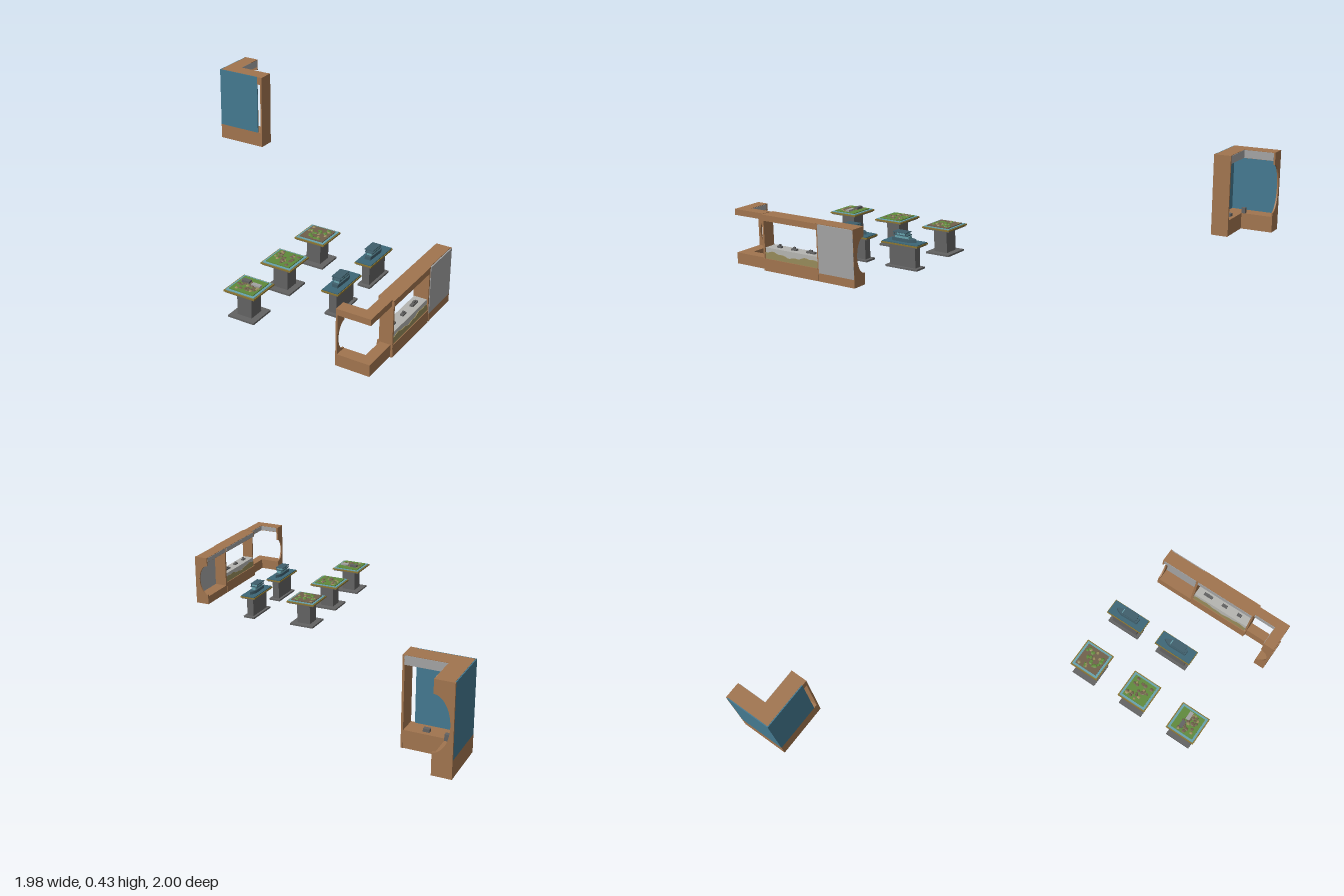
import * as THREE from 'three';

const mat = (color) => new THREE.MeshStandardMaterial({ color, side: THREE.DoubleSide });
const M = {
  wood: mat(0xa0744e), blue: mat(0x43788f), grey: mat(0xa2a2a2), dark: mat(0x626262),
  gold: mat(0x8a7430), sea: mat(0x3c6676), teal: mat(0x67a2ac), green: mat(0x5f8a3a),
  earth: mat(0x70604a), olive: mat(0x968a5a), pale: mat(0xb4b4b0), ship: mat(0x3f5f6c),
};

// Box given by its two corners
function box(parent, name, m, [x0, y0, z0], [x1, y1, z1]) {
  const mesh = new THREE.Mesh(new THREE.BoxGeometry(x1 - x0, y1 - y0, z1 - z0), m);
  mesh.position.set((x0 + x1) / 2, (y0 + y1) / 2, (z0 + z1) / 2);
  mesh.name = name;
  parent.add(mesh);
  return mesh;
}

function group(parent, name) {
  const g = new THREE.Group();
  g.name = name;
  parent.add(g);
  return g;
}

// Thin end plate in the xy plane; its open edge (x = 0) has a round bite
function bittenPlate(parent, name, w, y0, y1, cy, r, depth) {
  const s = new THREE.Shape();
  s.moveTo(0, y0);
  s.lineTo(w, y0);
  s.lineTo(w, y1);
  s.lineTo(0, y1);
  s.lineTo(0, cy + r);
  s.absellipse(0, cy, depth, r, Math.PI / 2, -Math.PI / 2, true);
  const geo = new THREE.ExtrudeGeometry(s, { depth: 0.008, bevelEnabled: false, curveSegments: 16 });
  const mesh = new THREE.Mesh(geo, M.wood);
  mesh.name = name;
  parent.add(mesh);
  return mesh;
}

// Tall L-shaped corner cabinet
function cornerCabinet(root) {
  const g = group(root, 'cornerCabinet');
  for (const [name, y0, y1] of [['cabinetBase', 0, 0.085], ['cabinetTop', 0.385, 0.43]]) {
    box(g, name, M.wood, [-0.985, y0, -0.83], [-0.70, y1, -0.745]);
    box(g, name, M.wood, [-0.985, y0, -1], [-0.90, y1, -0.83]);
  }
  // lower plinth and upper rim on the outer faces
  box(g, 'plinthFront', M.wood, [-0.99, 0, -0.745], [-0.70, 0.085, -0.74]);
  box(g, 'plinthSide', M.wood, [-0.99, 0, -1], [-0.985, 0.085, -0.745]);
  box(g, 'rimFront', M.wood, [-0.73, 0.385, -0.745], [-0.70, 0.43, -0.74]);
  // backdrop panels
  box(g, 'backdropFront', M.blue, [-0.99, 0.085, -0.746], [-0.73, 0.429, -0.74]);
  box(g, 'backdropSide', M.blue, [-0.99, 0.085, -0.995], [-0.984, 0.429, -0.74]);
  // grey inner fascia under the top
  box(g, 'fasciaFront', M.grey, [-0.90, 0.386, -0.832], [-0.705, 0.428, -0.829]);
  box(g, 'fasciaSide', M.grey, [-0.901, 0.386, -0.992], [-0.898, 0.428, -0.83]);
  // end plates
  box(g, 'endPlate', M.wood, [-0.71, 0, -0.832], [-0.70, 0.43, -0.74]);
  const plate = bittenPlate(g, 'curvedEndPlate', 0.09, 0, 0.43, 0.235, 0.13, 0.075);
  plate.scale.x = -1;
  plate.position.set(-0.90, 0, -1);
  // small exhibits on the shelf
  box(g, 'shelfExhibit', M.dark, [-0.92, 0.085, -0.85], [-0.90, 0.115, -0.83]);
  box(g, 'shelfExhibit', M.dark, [-0.82, 0.085, -0.81], [-0.79, 0.10, -0.79]);
}

// Long display wall in three bays
function displayWall(root) {
  const g = group(root, 'displayWall');
  const H = 0.272;

  // bay with a closed back
  const a = group(g, 'panelBay');
  box(a, 'bayBase', M.wood, [0.91, 0, 0.28], [0.985, 0.045, 0.485]);
  box(a, 'bayTop', M.wood, [0.91, 0.245, 0.28], [0.98, H, 0.485]);
  box(a, 'backPanel', M.grey, [0.979, 0.04, 0.281], [0.986, H - 0.003, 0.485]);
  box(a, 'fascia', M.grey, [0.908, 0.247, 0.289], [0.911, H - 0.002, 0.482]);
  const end = bittenPlate(a, 'curvedEndPlate', 0.075, 0, H, 0.14, 0.085, 0.05);
  end.position.set(0.91, 0, 0.28);

  // window bay with a landscape model
  const b = group(g, 'modelBay');
  box(b, 'bayBase', M.wood, [0.91, 0, 0.492], [0.985, 0.06, 0.82]);
  box(b, 'bayTop', M.wood, [0.91, 0.243, 0.492], [0.985, H, 0.82]);
  box(b, 'fascia', M.grey, [0.908, 0.245, 0.495], [0.911, H - 0.002, 0.815]);
  box(b, 'divider', M.wood, [0.912, 0, 0.482], [0.983, H, 0.494]);
  box(b, 'divider', M.wood, [0.92, 0, 0.812], [0.983, H, 0.822]);
  box(b, 'waterBlock', M.pale, [0.916, 0.06, 0.495], [0.978, 0.113, 0.812]);
  const hill = new THREE.Shape();
  hill.moveTo(0, 0.06);
  for (let i = 0; i <= 24; i++) {
    const t = i / 24;
    hill.lineTo(t * 0.315, 0.088 + 0.007 * Math.sin(t * 9) + 0.003 * Math.sin(t * 31));
  }
  hill.lineTo(0.315, 0.06);
  const bed = new THREE.Mesh(new THREE.ExtrudeGeometry(hill, { depth: 0.066, bevelEnabled: false }), M.olive);
  bed.name = 'seaBed';
  bed.rotation.y = -Math.PI / 2;
  bed.position.set(0.981, 0, 0.496);
  b.add(bed);
  for (const [z, l] of [[0.56, 0.05], [0.66, 0.03], [0.75, 0.025]]) {
    box(b, 'modelBoat', M.dark, [0.94, 0.113, z - l / 2], [0.955, 0.121, z + l / 2]);
    box(b, 'boatCabin', M.dark, [0.943, 0.121, z - l / 6], [0.952, 0.129, z + l / 6]);
  }

  // open corner bay
  const c = group(g, 'cornerBay');
  for (const [name, y0, y1] of [['bayBase', 0.005, 0.06], ['bayTop', 0.245, 0.274]]) {
    box(c, name, M.wood, [0.925, y0, 0.82], [0.975, y1, 0.945]);
    box(c, name, M.wood, [0.815, y0, 0.942], [0.975, y1, 1]);
  }
  box(c, 'fascia', M.grey, [0.923, 0.247, 0.825], [0.926, 0.272, 0.942]);
  box(c, 'fascia', M.grey, [0.825, 0.247, 0.94], [0.925, 0.272, 0.943]);
  const tip = bittenPlate(c, 'curvedEndPlate', 0.057, 0.005, 0.274, 0.13, 0.066, 0.046);
  tip.rotation.y = -Math.PI / 2;
  tip.position.set(0.823, 0, 0.943);
}

// Pedestal: foot, stem and framed top
function pedestal(root, name, x, z, foot, stem, top, yTop) {
  const g = group(root, name);
  g.position.set(x, 0, z);
  const slab = (n, m, [w, d], y0, y1) => box(g, n, m, [-w / 2, y0, -d / 2], [w / 2, y1, d / 2]);
  slab('foot', M.dark, foot, 0, 0.009);
  slab('stem', M.dark, stem, 0.009, yTop - 0.01);
  slab('underTop', M.dark, [top[0] - 0.01, top[1] - 0.01], yTop - 0.012, yTop - 0.006);
  slab('topFrame', M.gold, top, yTop - 0.007, yTop);
  return { g, slab };
}

// Square table with a patchwork relief map
function mapTable(root, z, seed, ground, patch) {
  const { g, slab } = pedestal(root, 'mapTable', 0.29, z, [0.135, 0.135], [0.075, 0.075], [0.16, 0.16], 0.138);
  slab('waterBorder', M.teal, [0.148, 0.148], 0.138, 0.141);
  slab('mapGround', ground, [0.125, 0.125], 0.141, 0.145);
  const rnd = () => (seed = (seed * 16807) % 2147483647) / 2147483647;
  for (let i = 0; i < 26; i++) {
    const x = (rnd() - 0.5) * 0.1, pz = (rnd() - 0.5) * 0.1;
    const geo = new THREE.CylinderGeometry(0.004 + rnd() * 0.003, 0.007 + rnd() * 0.005, 0.002 + rnd() * 0.004, 6);
    const hill = new THREE.Mesh(geo, i % 4 ? patch : M.olive);
    hill.name = 'reliefPatch';
    hill.position.set(x, 0.1465, pz);
    g.add(hill);
  }
  return g;
}

// Narrow table with a model ship
function shipTable(root, z) {
  const { g, slab } = pedestal(root, 'shipTable', 0.602, z, [0.065, 0.185], [0.038, 0.15], [0.086, 0.21], 0.125);
  slab('sea', M.sea, [0.079, 0.203], 0.125, 0.129);
  const s = new THREE.Shape();
  s.moveTo(-0.015, -0.06);
  s.lineTo(0.015, -0.06);
  s.lineTo(0.018, 0.03);
  s.quadraticCurveTo(0.014, 0.055, 0, 0.072);
  s.quadraticCurveTo(-0.014, 0.055, -0.018, 0.03);
  const hull = new THREE.Mesh(new THREE.ExtrudeGeometry(s, { depth: 0.016, bevelEnabled: false }), M.ship);
  hull.name = 'hull';
  hull.rotation.x = -Math.PI / 2;
  hull.position.y = 0.129;
  g.add(hull);
  box(g, 'deckHouse', M.teal, [-0.012, 0.145, -0.035], [0.012, 0.158, 0.045]);
  box(g, 'upperDeck', M.ship, [-0.02, 0.158, -0.03], [0.02, 0.162, 0.05]);
  box(g, 'bridge', M.teal, [-0.017, 0.162, -0.022], [0.017, 0.17, 0.03]);
  box(g, 'roof', M.ship, [-0.022, 0.172, -0.026], [0.022, 0.176, 0.05]);
  for (const x of [-0.018, 0.018]) for (const pz of [-0.022, 0.012, 0.046])
    box(g, 'post', M.ship, [x - 0.0015, 0.16, pz - 0.0015], [x + 0.0015, 0.173, pz + 0.0015]);
}

export function createModel() {
  const root = new THREE.Group();
  root.name = 'exhibitionRoom';
  cornerCabinet(root);
  displayWall(root);
  mapTable(root, 0.27, 11, M.earth, M.green);
  mapTable(root, 0.56, 57, M.green, M.earth);
  const town = mapTable(root, 0.85, 93, M.green, M.earth);
  // raised buildings on the last map
  box(town, 'building', M.dark, [-0.045, 0.145, -0.03], [-0.005, 0.157, -0.01]);
  box(town, 'building', M.grey, [0.01, 0.145, -0.022], [0.055, 0.154, -0.002]);
  for (const z of [0.285, 0.582]) shipTable(root, z);
  return root;
}
